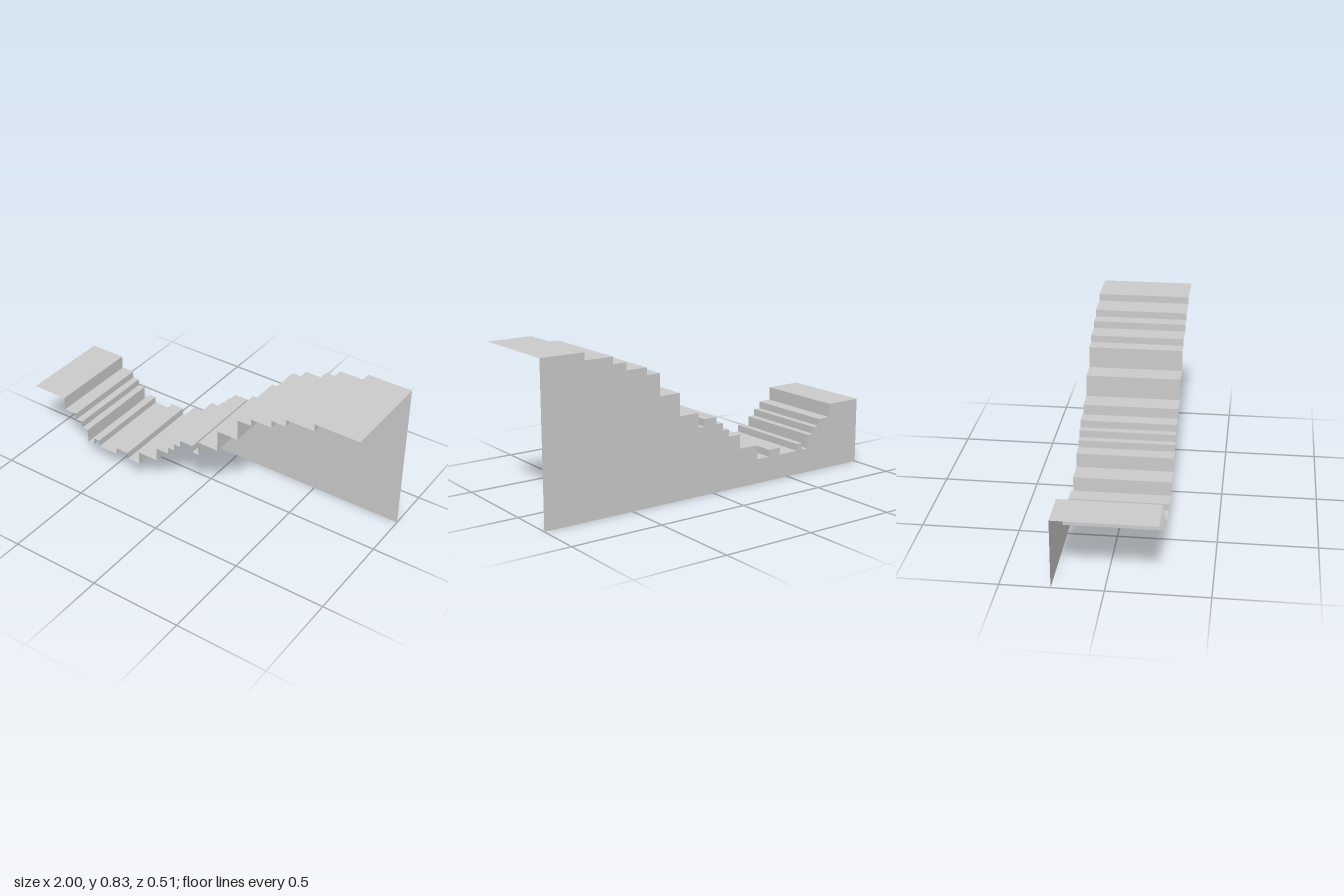
import * as THREE from 'three';

const DEPTH = 0.506;

// Each step: [x where it starts, height]; the last one runs to x = 1
const STEPS = [
  [-1, 0.36], [-0.795, 0.286], [-0.72, 0.247], [-0.681, 0.209], [-0.642, 0.132],
  [-0.602, 0.17], [-0.565, 0.132], [-0.445, 0.17], [-0.37, 0.132], [-0.291, 0.209],
  [-0.173, 0.286], [-0.097, 0.325], [-0.058, 0.364], [-0.018, 0.403], [0.06, 0.364],
  [0.097, 0.441], [0.214, 0.56], [0.333, 0.676], [0.411, 0.714], [0.527, 0.753],
  [0.605, 0.791], [0.76, 0.83],
];

export function createModel() {
  const group = new THREE.Group();
  group.name = 'steppedTerrain';
  const material = new THREE.MeshStandardMaterial({
    color: 0xcccccc, side: THREE.DoubleSide, flatShading: true,
  });

  // Stair outline, left to right: two corners per step
  const outline = STEPS.flatMap(([x, y], i) => {
    const end = i + 1 < STEPS.length ? STEPS[i + 1][0] : 1;
    return [new THREE.Vector2(x, y), new THREE.Vector2(end, y)];
  });

  // Open ribbon of treads and risers swept through the depth
  const positions = [];
  const f = DEPTH / 2;
  for (let i = 0; i + 1 < outline.length; i++) {
    const a = outline[i], b = outline[i + 1];
    positions.push(
      a.x, a.y, f, b.x, b.y, f, b.x, b.y, -f,
      a.x, a.y, f, b.x, b.y, -f, a.x, a.y, -f,
    );
  }
  const ribbon = new THREE.BufferGeometry();
  ribbon.setAttribute('position', new THREE.Float32BufferAttribute(positions, 3));
  ribbon.computeVertexNormals();
  const steps = new THREE.Mesh(ribbon, material);
  steps.name = 'steps';
  group.add(steps);

  // Thin back wall from the ground up to the stair outline
  const wallShape = new THREE.Shape([
    new THREE.Vector2(-1, 0), new THREE.Vector2(1, 0), ...[...outline].reverse(),
  ]);
  const wall = new THREE.Mesh(new THREE.ShapeGeometry(wallShape), material);
  wall.name = 'backWall';
  wall.position.z = -f;
  group.add(wall);

  return group;
}
